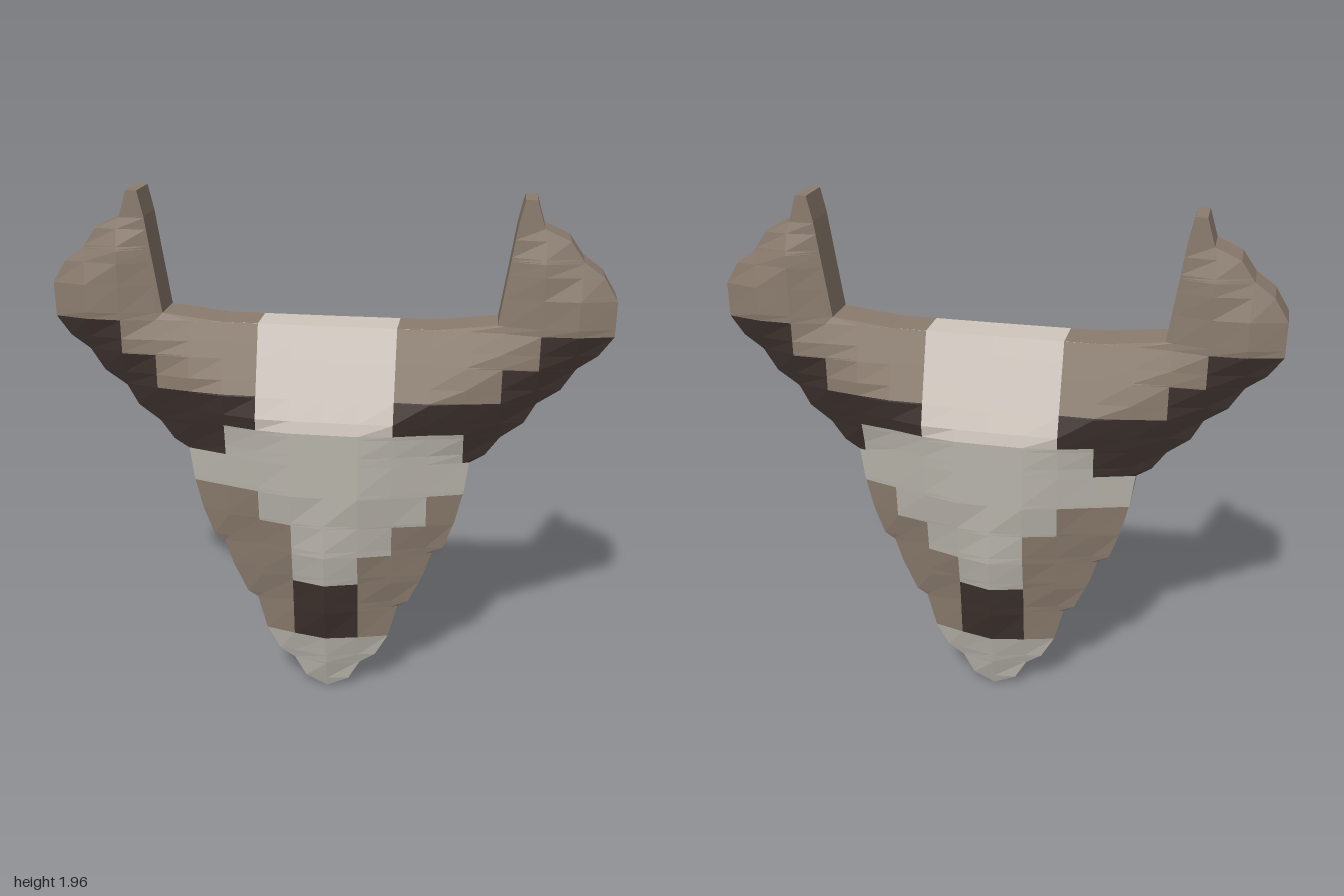
import * as THREE from 'three';

const RIM = 0.07; // half thickness at the edge
const STEP = 0.125; // width of one colour block

// Outer and inner edge of one half as [x, y]
const OUTER = [
  [0, 0], [0.085, 0.04], [0.13, 0.12], [0.19, 0.16], [0.24, 0.25], [0.275, 0.385],
  [0.315, 0.41], [0.37, 0.53], [0.4, 0.625], [0.44, 0.65], [0.48, 0.76], [0.51, 0.89],
  [0.525, 1.005], [0.58, 1.04], [0.63, 1.11], [0.71, 1.17], [0.75, 1.245], [0.83, 1.3],
  [0.88, 1.38], [0.95, 1.43], [1, 1.5], [1, 1.625], [0.95, 1.705], [0.88, 1.755],
  [0.83, 1.825], [0.74, 1.865], [0.71, 1.96],
];
const INNER = [
  [0, 0], [0, 1.499], [0.38, 1.5], [0.6, 1.525], [0.635, 1.765], [0.65, 1.87], [0.67, 1.96],
];
const EDGE = [...OUTER, ...INNER.slice(1).reverse()];

function edgeAt(points, y) {
  for (let i = 1; i < points.length; i++) {
    const [x0, y0] = points[i - 1], [x1, y1] = points[i];
    if (y <= y1) return x0 + (x1 - x0) * (y - y0) / (y1 - y0);
  }
  return points[points.length - 1][0];
}

function edgeDistance(x, y) {
  let best = Infinity;
  for (let i = 1; i < EDGE.length; i++) {
    const [ax, ay] = EDGE[i - 1], [bx, by] = EDGE[i];
    const dx = bx - ax, dy = by - ay;
    const t = THREE.MathUtils.clamp(((x - ax) * dx + (y - ay) * dy) / (dx * dx + dy * dy), 0, 1);
    best = Math.min(best, Math.hypot(x - ax - t * dx, y - ay - t * dy));
  }
  return best;
}

// The surface swells away from the edge, less so towards the horns
function halfDepth(x, y) {
  const cap = THREE.MathUtils.clamp(0.11 - (x - 0.25) * 0.2, 0.035, 0.11);
  return RIM + Math.min(cap, 0.31 * edgeDistance(x, y));
}

// Which painted part a block belongs to; x is the distance from the middle
function partAt(x, y, side) {
  if (y < 0.25) return 'muzzle';
  if (x < 0.125 && y < 0.5) return 'noseBand';
  if (x < 0.25 && y > 1.125) return 'forehead';
  const darkTop = x < 0.625 ? 1.25 : x < 0.75 ? 1.375 : 1.5;
  if (y > darkTop) return y > 1.525 ? 'horns' : 'brow';
  const faceTop = x > 0.5 || (side < 0 && x > 0.375) ? 1.005 : 1.125;
  if (y > faceTop) return 'hornUnderside';
  let faceBottom = 0.5;
  if (x > 0.125) faceBottom = side > 0 ? 0.625 : 0.75;
  if (x > 0.25) faceBottom = side > 0 ? 0.75 : 0.875;
  if (x > 0.375) faceBottom = 0.875;
  return y > faceBottom ? 'face' : 'cheeks';
}

export function createModel() {
  const material = (name, color) => {
    const m = new THREE.MeshStandardMaterial({ color, flatShading: true });
    m.name = name;
    return m;
  };
  const brown = material('brown', 0x8b7c6e);
  const dark = material('darkBrown', 0x3c312d);
  const pale = material('paleBone', 0xd0c7be);
  const grey = material('greyBone', 0xb8b4ab);
  const partMaterials = {
    muzzle: grey, noseBand: dark, forehead: pale, face: grey,
    cheeks: brown, hornUnderside: dark, brow: brown, horns: brown,
  };
  const positions = {};
  for (const name in partMaterials) positions[name] = [];

  function addQuad(part, corners, flip) {
    const v = corners.map((c) => new THREE.Vector3(...c));
    if (flip) v.reverse();
    for (const [a, b, c] of [[0, 1, 2], [0, 2, 3]]) {
      const area = v[b].clone().sub(v[a]).cross(v[c].clone().sub(v[a])).length();
      if (area < 1e-8) continue;
      for (const i of [a, b, c]) positions[part].push(v[i].x, v[i].y, v[i].z);
    }
  }

  // Rows pass through every bend of the edge and every colour border
  const rows = [...OUTER, ...INNER].map((p) => p[1]);
  for (let y = STEP; y < 1.9; y += STEP) rows.push(y);
  const levels = [...new Set(rows)].sort((a, b) => a - b);

  for (const side of [1, -1]) {
    for (let r = 1; r < levels.length; r++) {
      const y0 = levels[r - 1], y1 = levels[r], mid = (y0 + y1) / 2;
      const in0 = edgeAt(INNER, y0), in1 = edgeAt(INNER, y1);
      const out0 = edgeAt(OUTER, y0), out1 = edgeAt(OUTER, y1);

      // Front and back faces, cut to the edge
      for (let k = 0; k < 8; k++) {
        const xa = k * STEP, xb = xa + STEP;
        const low = (x) => THREE.MathUtils.clamp(x, in0, out0);
        const high = (x) => THREE.MathUtils.clamp(x, in1, out1);
        const part = partAt(xa + STEP / 2, mid, side);
        for (const face of [1, -1]) {
          const corner = (x, y) => [side * x, y, face * halfDepth(x, y)];
          addQuad(part, [
            corner(low(xa), y0), corner(low(xb), y0), corner(high(xb), y1), corner(high(xa), y1),
          ], side * face < 0);
        }
      }

      // Flat rim along the outer edge, and along the inner edge above the brow
      const rim = (part, a, b, flip) => addQuad(part, [
        [side * a, y0, RIM], [side * a, y0, -RIM], [side * b, y1, -RIM], [side * b, y1, RIM],
      ], flip);
      rim(partAt((out0 + out1) / 2, mid, side), out0, out1, side < 0);
      if (in0 === 0 && in1 > 0) {
        // Top of the head, split at the forehead border
        const strip = (part, a, ya, b, yb) => addQuad(part, [
          [side * a, ya, RIM], [side * b, yb, RIM], [side * b, yb, -RIM], [side * a, ya, -RIM],
        ], side < 0);
        const yCut = y0 + (y1 - y0) * 0.25 / in1;
        strip('forehead', 0, y0, 0.25, yCut);
        strip('brow', 0.25, yCut, in1, y1);
      } else if (in1 > 0) {
        rim(partAt((in0 + in1) / 2, mid, side), in0, in1, side > 0);
      }
    }

    // Blunt horn tip
    const [tipIn, tipOut, top] = [0.67, 0.71, 1.96];
    addQuad('horns', [
      [side * tipIn, top, RIM], [side * tipOut, top, RIM],
      [side * tipOut, top, -RIM], [side * tipIn, top, -RIM],
    ], side < 0);
  }

  const group = new THREE.Group();
  group.name = 'hornedSkull';
  for (const name in partMaterials) {
    const geometry = new THREE.BufferGeometry();
    geometry.setAttribute('position', new THREE.Float32BufferAttribute(positions[name], 3));
    geometry.computeVertexNormals();
    const mesh = new THREE.Mesh(geometry, partMaterials[name]);
    mesh.name = name;
    group.add(mesh);
  }
  return group;
}
